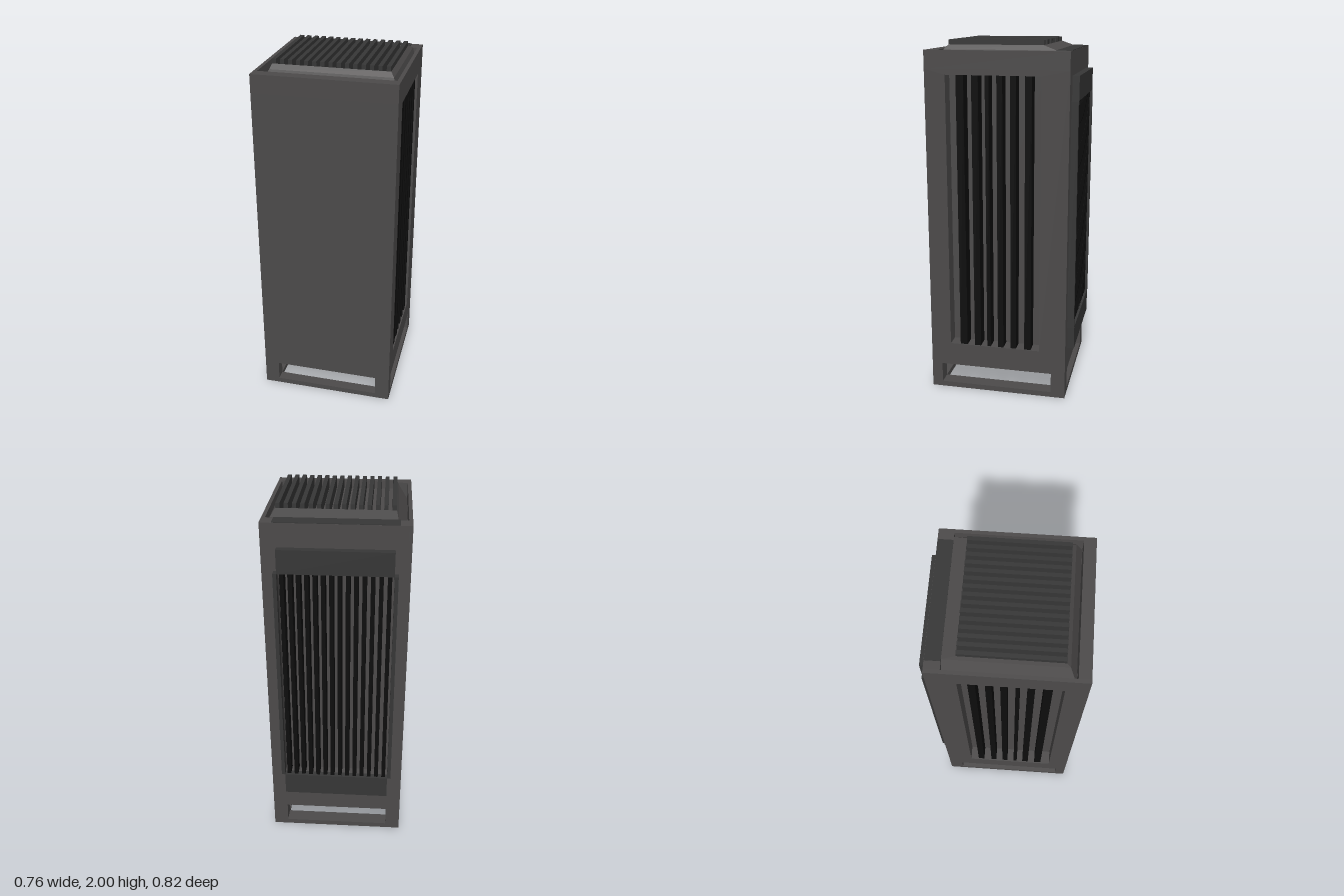
import * as THREE from 'three';

const mat = (color) => new THREE.MeshStandardMaterial({ color, flatShading: true });
const shell = mat(0x4c4a4a), dark = mat(0x363636), black = mat(0x0d0d0d);
const sloped = mat(0x4c4a4a);
sloped.side = THREE.DoubleSide;

// Open ring of sloping walls through rectangular loops [x0, x1, y, z0, z1]
function slopedRing(loops) {
  const positions = [];
  const corners = ([x0, x1, y, z0, z1]) => [[x0, y, z1], [x1, y, z1], [x1, y, z0], [x0, y, z0]];
  for (let i = 0; i + 1 < loops.length; i++) {
    const low = corners(loops[i]), high = corners(loops[i + 1]);
    for (let k = 0; k < 4; k++) {
      const n = (k + 1) % 4;
      positions.push(...low[k], ...low[n], ...high[n], ...low[k], ...high[n], ...high[k]);
    }
  }
  const g = new THREE.BufferGeometry();
  g.setAttribute('position', new THREE.Float32BufferAttribute(positions, 3));
  g.computeVertexNormals();
  return g;
}

export function createModel() {
  const model = new THREE.Group();

  const add = (name, geometry, material, parent = model) => {
    const mesh = new THREE.Mesh(geometry, material);
    mesh.name = name;
    parent.add(mesh);
  };
  // Box given by its minimum and maximum corners
  const box = (name, x0, x1, y0, y1, z0, z1, material, parent) => {
    const g = new THREE.BoxGeometry(x1 - x0, y1 - y0, z1 - z0);
    g.translate((x0 + x1) / 2, (y0 + y1) / 2, (z0 + z1) / 2);
    add(name, g, material, parent);
  };
  const rect = (Type, x0, x1, y0, y1) => new Type([
    [x0, y0], [x1, y0], [x1, y1], [x0, y1],
  ].map(([x, y]) => new THREE.Vector2(x, y)));

  // Side walls with a tall vent window and a low base opening
  const wall = rect(THREE.Shape, -0.41, 0.375, 0, 1.85);
  wall.holes.push(rect(THREE.Path, -0.295, 0.225, 0.278, 1.82));
  wall.holes.push(rect(THREE.Path, -0.35, 0.295, 0.03, 0.145));
  const slats = [[0.196, 0.238], [0.116, 0.153], [0.058, 0.079], [-0.016, 0.016],
    [-0.09, -0.058], [-0.175, -0.138]];
  for (const [side, s] of [['left', 1], ['right', -1]]) {
    const g = new THREE.ExtrudeGeometry(wall, { depth: 0.082, bevelEnabled: false });
    g.rotateY(Math.PI / 2).translate(s > 0 ? 0.3 : -0.382, 0, 0);
    add(side + 'Wall', g, shell);
    const vent = new THREE.Group();
    vent.name = side + 'Vent';
    model.add(vent);
    const span = (a, b) => (s > 0 ? [a, b] : [-b, -a]);
    box('ventBacking', ...span(0.28, 0.3), 0.27, 1.83, -0.24, 0.31, shell, vent);
    for (const [z0, z1] of slats) {
      box('slat', ...span(0.3, 0.375), 0.278, 1.82, z0, z1, black, vent);
    }
    box(side + 'TopRim', ...span(0.362, 0.382), 1.85, 1.948, -0.375, 0.41, shell);
  }

  // Front panel and base bars
  box('frontPanel', -0.3, 0.3, 0.145, 1.85, 0.35, 0.41, shell);
  box('frontTopRim', -0.362, 0.362, 1.85, 1.948, 0.347, 0.41, shell);
  box('frontBaseBar', -0.3, 0.3, 0, 0.03, 0.35, 0.41, shell);
  box('backBaseBar', -0.3, 0.3, 0, 0.03, -0.375, -0.295, shell);

  // Back panel above and below its grille
  box('backPanelLower', -0.3, 0.3, 0.145, 0.41, -0.375, -0.295, shell);
  box('backPanelUpper', -0.3, 0.3, 1.69, 1.85, -0.375, -0.295, shell);
  box('backTopRim', -0.362, 0.362, 1.85, 1.948, -0.375, -0.295, shell);
  box('topRearStrip', -0.32, 0.32, 1.94, 1.951, -0.374, -0.295, dark);
  box('backGrilleBacking', -0.3, 0.3, 0.41, 1.69, -0.33, -0.31, shell);

  // Raised frame round the back grille
  box('backFrameTop', -0.3, 0.3, 1.69, 1.82, -0.413, -0.375, dark);
  box('backFrameBottom', -0.3, 0.3, 0.278, 0.41, -0.413, -0.375, dark);
  for (const x of [-0.32, 0.3]) {
    box('backFrameSide', x, x + 0.02, 0.41, 1.69, -0.413, -0.375, dark);
  }

  // Fins of the back and top grilles
  const pitch = 0.0426, width = 0.022;
  for (let i = 0; i < 15; i++) {
    const x = -0.3 + i * pitch;
    if (i < 14) box('backFin', x + 0.012, x + 0.012 + width, 0.41, 1.69, -0.4, -0.33, black);
    box('topFin', x, x + width, 1.93, 2, -0.225, 0.29, dark);
  }

  // Underside panel with shallow ribs
  box('undersidePanel', -0.3, 0.3, 0.15, 0.18, -0.295, 0.35, dark);
  for (let i = 0; i < 14; i++) {
    const x = -0.285 + i * pitch;
    box('undersideRib', x, x + width, 0.145, 0.15, -0.225, 0.29, dark);
  }

  // Sloping top frame sunk inside the rim, with the grille floor
  add('topVentFrame', slopedRing([
    [-0.36, 0.36, 1.86, -0.295, 0.345],
    [-0.31, 0.338, 1.95, -0.295, 0.31],
    [-0.3, 0.32, 1.975, -0.225, 0.29],
    [-0.3, 0.32, 1.92, -0.225, 0.29],
  ]), sloped);
  box('topGrilleFloor', -0.3, 0.32, 1.91, 1.93, -0.225, 0.29, shell);

  return model;
}
